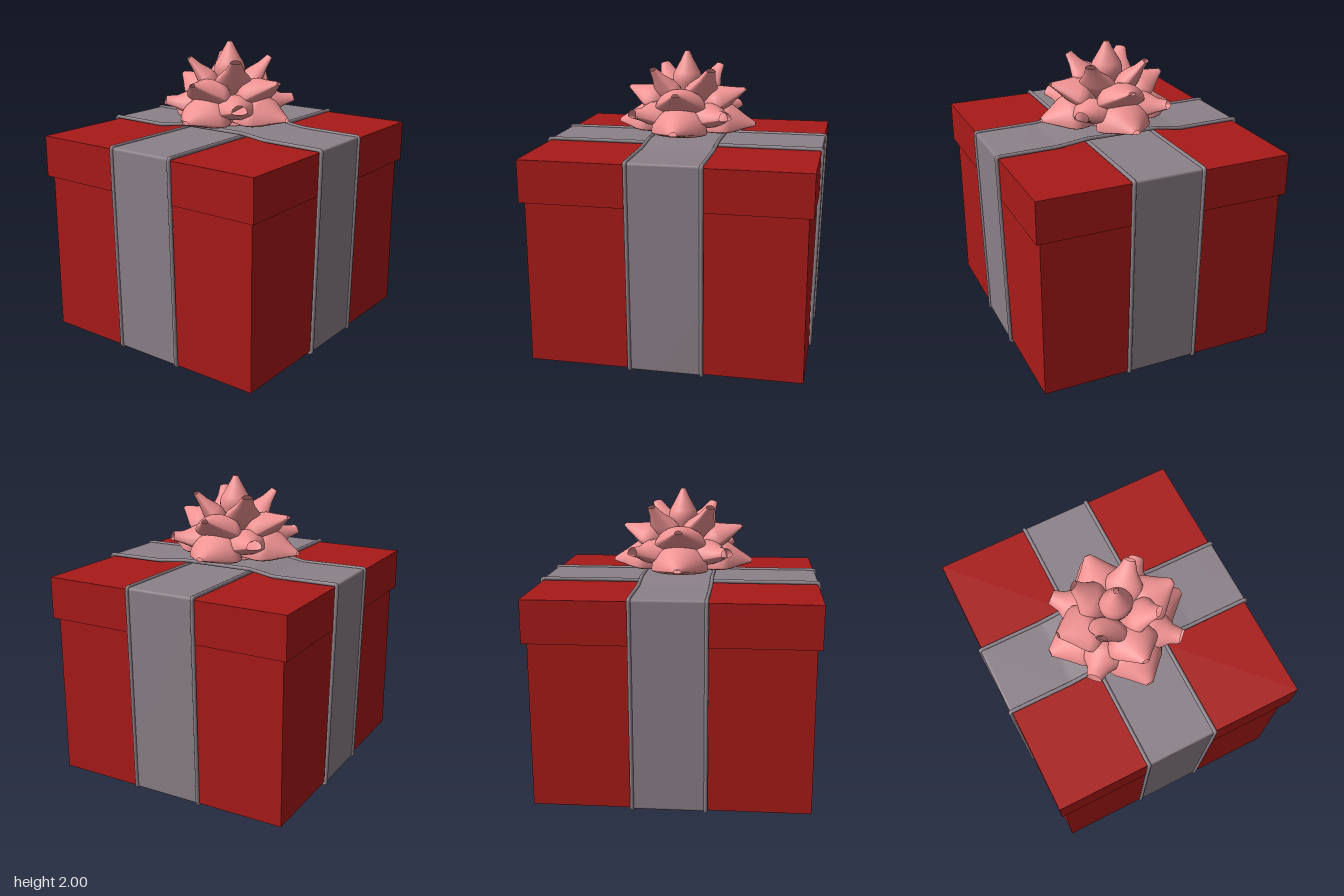
import * as THREE from 'three';

const material = (color) => new THREE.MeshStandardMaterial({ color, side: THREE.DoubleSide });
const red = material(0xa81a18);
const grey = material(0x8c8189);
const pink = material(0xf09292);

// Skins a list of equal-sized rings of [x, y, z] points; each direction may wrap round.
function loft(rings, wrapRings, wrapSection) {
  const n = rings.length, m = rings[0].length, index = [];
  for (let i = 0; i < (wrapRings ? n : n - 1); i++) {
    for (let j = 0; j < (wrapSection ? m : m - 1); j++) {
      const a = i * m + j, b = i * m + (j + 1) % m;
      const c = ((i + 1) % n) * m + j, d = ((i + 1) % n) * m + (j + 1) % m;
      index.push(a, c, b, b, c, d);
    }
  }
  const g = new THREE.BufferGeometry();
  g.setAttribute('position', new THREE.Float32BufferAttribute(rings.flat(2), 3));
  g.setIndex(index);
  g.computeVertexNormals();
  return g;
}

function addMesh(parent, name, geometry, mat) {
  const mesh = new THREE.Mesh(geometry, mat);
  mesh.name = name;
  parent.add(mesh);
  return mesh;
}

function addBox(parent, name, w, d, y0, y1) {
  addMesh(parent, name, new THREE.BoxGeometry(w, y1 - y0, d), red).position.y = (y0 + y1) / 2;
}

// Rounds every corner of a closed outline with a short quadratic arc.
function roundCorners(points, r) {
  const pts = points.map(([x, y]) => new THREE.Vector2(x, y));
  return pts.flatMap((p, i) => {
    const before = pts[(i + pts.length - 1) % pts.length], after = pts[(i + 1) % pts.length];
    const a = p.clone().add(before.clone().sub(p).setLength(r));
    const b = p.clone().add(after.clone().sub(p).setLength(r));
    return new THREE.QuadraticBezierCurve(a, p, b).getPoints(4);
  });
}

// Sweeps a section of [outward, sideways] points round a closed planar path.
function sweep(path, section, wrapSection) {
  const n = path.length;
  const rings = path.map((p, i) => {
    const t = path[(i + 1) % n].clone().sub(path[(i + n - 1) % n]).normalize();
    return section.map(([o, s]) => [p.x + t.y * o, p.y - t.x * o, s]);
  });
  return loft(rings, true, wrapSection);
}

// Ribbon loop: a flat band with a round cord along each edge.
function ribbon(name, outline, from, to) {
  const group = new THREE.Group();
  group.name = name;
  const path = roundCorners(outline, 0.018);
  addMesh(group, 'ribbonBand', sweep(path, [[0, from], [0, to]], false), grey);
  for (const side of [from, to]) {
    const circle = Array.from({ length: 10 }, (_, k) => {
      const a = k / 10 * Math.PI * 2;
      return [0.013 * Math.cos(a), side + 0.013 * Math.sin(a)];
    });
    addMesh(group, 'ribbonCord', sweep(path, circle, true), grey);
  }
  return group;
}

// Bow loop: a rolled pocket along +x, domed above, narrowing to an open tip.
function petalGeometry({ length, width, height, under, tip }) {
  const stations = [[0, 0.25], [0.2, 0.5], [0.4, 0.82], [0.52, 0.97], [0.6, 1], [0.68, 0.9], [0.84, 0.5]];
  const rings = [...stations, [1, tip]].map(([s, k]) => Array.from({ length: 24 }, (_, j) => {
    const a = j / 24 * Math.PI * 2, up = Math.sin(a);
    return [s * length, k * height * up * (up < 0 ? under : 1), k * width * Math.cos(a)];
  }));
  return loft(rings, false, true);
}

function bow() {
  const group = new THREE.Group();
  group.name = 'bow';
  group.position.x = -0.01;
  // Tiers from the lowest ring to the upright loop at the top
  const tiers = [
    { name: 'lowerLoop', count: 4, yaw: 0, y: 1.46, tilt: 5, length: 0.48, width: 0.19, height: 0.165, under: 0.2, tip: 0.13 },
    { name: 'lowerDiagonalLoop', count: 4, yaw: 45, y: 1.48, tilt: 14, length: 0.46, width: 0.14, height: 0.13, under: 0.3, tip: 0.35 },
    { name: 'middleLoop', count: 4, yaw: 0, y: 1.5, tilt: 31, length: 0.475, width: 0.17, height: 0.13, under: 0.35, tip: 0.13 },
    { name: 'upperLoop', count: 4, yaw: 45, y: 1.5, tilt: 54, length: 0.48, width: 0.13, height: 0.09, under: 0.5, tip: 0.28 },
    { name: 'topLoop', count: 1, yaw: 0, y: 1.55, tilt: 90, length: 0.45, width: 0.11, height: 0.1, under: 1, tip: 0.15 },
  ];
  for (const tier of tiers) {
    const geometry = petalGeometry(tier);
    for (let i = 0; i < tier.count; i++) {
      const petal = addMesh(group, tier.name, geometry, pink);
      petal.position.y = tier.y;
      petal.rotation.set(0, THREE.MathUtils.degToRad(tier.yaw + i * 90), THREE.MathUtils.degToRad(tier.tilt), 'YXZ');
    }
  }
  // Hidden core that joins the loops
  addMesh(group, 'bowCore', new THREE.CylinderGeometry(0.1, 0.14, 0.07, 24), pink).position.y = 1.475;
  return group;
}

export function createModel() {
  const model = new THREE.Group();
  model.name = 'giftBox';

  // Box and lid
  addBox(model, 'box', 1.8, 1.66, 0.02, 1.12);
  addBox(model, 'lid', 1.86, 1.72, 1.11, 1.39);

  // Ribbon running left to right
  model.add(ribbon('sideRibbon',
    [[-0.905, 0.013], [0.905, 0.013], [0.937, 1.403], [-0.937, 1.403]], -0.235, 0.24));

  // Ribbon running front to back, rising over the other one
  const frontRibbon = ribbon('frontRibbon', [
    [-0.845, 0.013], [0.845, 0.013], [0.873, 1.405], [0.45, 1.409], [0.25, 1.432],
    [-0.25, 1.432], [-0.43, 1.403], [-0.873, 1.407],
  ], -0.25, 0.225);
  frontRibbon.rotation.y = -Math.PI / 2;
  model.add(frontRibbon);

  model.add(bow());
  return model;
}
